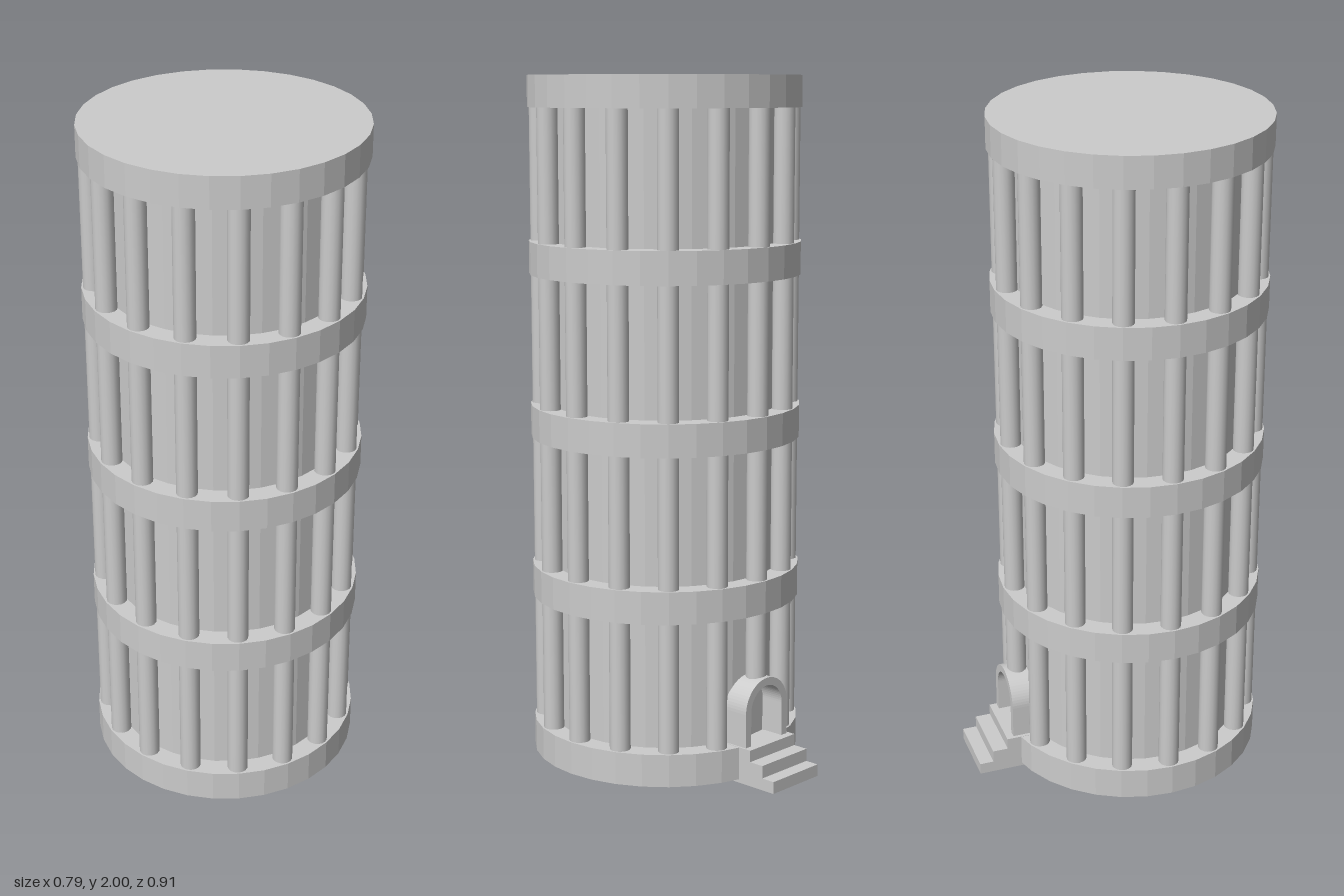
import * as THREE from 'three';

export function createModel() {
  const group = new THREE.Group();
  const flat = new THREE.MeshStandardMaterial({ color: 0xcccccc, flatShading: true });
  const smooth = new THREE.MeshStandardMaterial({ color: 0xcccccc });
  const CZ = 0.057; // tower axis

  const add = (name, geometry, x, y, z, material = flat) => {
    const mesh = new THREE.Mesh(geometry, material);
    mesh.name = name;
    mesh.position.set(x, y, z);
    group.add(mesh);
    return mesh;
  };
  const cylinder = (name, r, y0, y1, x, z, sides, material) =>
    add(name, new THREE.CylinderGeometry(r, r, y1 - y0, sides), x, (y0 + y1) / 2, z, material);

  // Floor slabs, from base to roof
  const slabs = [[0.01, 0.105], [0.485, 0.58], [0.96, 1.055], [1.435, 1.53], [1.91, 2]];
  slabs.forEach(([y0, y1], i) =>
    cylinder(i === 0 ? 'base' : i === 4 ? 'roof' : 'floorSlab', 0.395, y0, y1, 0, CZ, 32));

  // Recessed wall and ring of columns on each storey
  const COUNT = 16;
  for (let s = 0; s < 4; s++) {
    const y0 = slabs[s][1], y1 = slabs[s + 1][0];
    cylinder('wall', 0.335, y0, y1, 0, CZ, 32);
    for (let i = 0; i < COUNT; i++) {
      const a = (i / COUNT) * Math.PI * 2;
      // the column over the doorway stands on the arch
      const foot = s === 0 && i === COUNT / 2 ? 0.285 : y0;
      cylinder('column', 0.03, foot, y1, Math.sin(a) * 0.36, CZ + Math.cos(a) * 0.36, 16, smooth);
    }
  }

  // Doorway arch at the back
  const outer = 0.09, inner = 0.067, spring = 0.205, foot = 0.1;
  const arch = new THREE.Shape();
  arch.moveTo(outer, foot);
  arch.lineTo(outer, spring);
  arch.absarc(0, spring, outer, 0, Math.PI, false);
  arch.lineTo(-outer, foot);
  arch.lineTo(-inner, foot);
  arch.lineTo(-inner, spring);
  arch.absarc(0, spring, inner, Math.PI, 0, true);
  arch.lineTo(inner, foot);
  arch.closePath();
  add('doorArch', new THREE.ExtrudeGeometry(arch, { depth: 0.085, bevelEnabled: false, curveSegments: 16 }),
    0, 0, -0.345);

  // Steps up to the doorway
  const steps = [[0, 0.035, -0.455], [0.035, 0.072, -0.413], [0.072, 0.106, -0.367]];
  for (const [y0, y1, back] of steps) {
    const depth = -0.28 - back;
    add('step', new THREE.BoxGeometry(0.196, y1 - y0, depth), -0.002, (y0 + y1) / 2, back + depth / 2);
  }

  return group;
}
